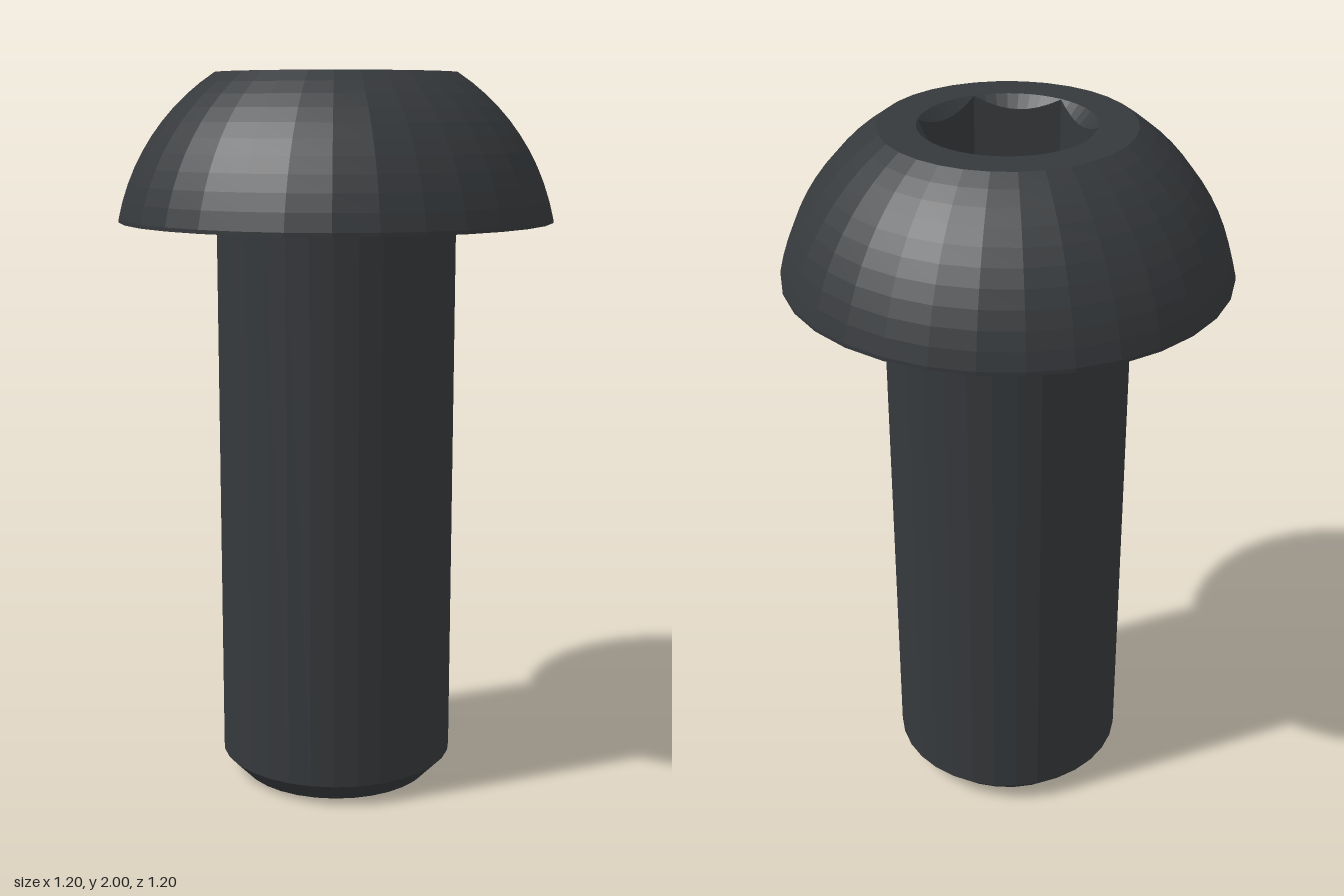
import * as THREE from 'three';

const SIDES = 32, SOCKET_SIDES = 48;
const SHAFT_R = 0.333, HEAD_R = 0.6, TOP_R = 0.333;
const HEAD_Y = 1.6, TOP_Y = 2;
const SOCKET_R = 0.232, HEX_APOTHEM = 0.2, SOCKET_DEPTH = 0.25;

// Points along an arc in the profile plane
function arc(cx, cy, r, from, to, steps) {
  return Array.from({ length: steps + 1 }, (_, i) => {
    const a = from + (to - from) * i / steps;
    return new THREE.Vector2(cx + r * Math.cos(a), cy + r * Math.sin(a));
  });
}

// Regular polygon outline
function polygon(r, sides) {
  return Array.from({ length: sides }, (_, i) => {
    const a = i / sides * Math.PI * 2;
    return new THREE.Vector2(r * Math.cos(a), r * Math.sin(a));
  });
}

// Distance from the axis to the hexagon wall, corners on the x axis
function hexRadius(a) {
  const step = Math.PI / 3;
  return HEX_APOTHEM / Math.cos((a % step) - step / 2);
}

// Recess lofted from the round mouth, through a conical chamfer, to a hexagonal floor
function socketGeometry() {
  const pos = [], index = [];
  const floorY = TOP_Y - SOCKET_DEPTH;
  for (let i = 0; i <= SOCKET_SIDES; i++) {
    const a = (i % SOCKET_SIDES) / SOCKET_SIDES * Math.PI * 2;
    const h = hexRadius(a);
    const rings = [[SOCKET_R, TOP_Y], [h, TOP_Y - (SOCKET_R - h)], [h, floorY], [0, floorY]];
    for (const [r, y] of rings) pos.push(r * Math.cos(a), y, r * Math.sin(a));
  }
  for (let i = 0; i < SOCKET_SIDES; i++) {
    for (let k = 0; k < 3; k++) {
      const a = i * 4 + k, b = a + 4;
      index.push(a, a + 1, b);
      if (k < 2) index.push(b, a + 1, b + 1);
    }
  }
  const geo = new THREE.BufferGeometry();
  geo.setAttribute('position', new THREE.Float32BufferAttribute(pos, 3));
  geo.setIndex(index);
  geo.computeVertexNormals();
  return geo;
}

export function createModel() {
  const group = new THREE.Group();
  const material = new THREE.MeshStandardMaterial({ color: 0x36393c, flatShading: true });
  const add = (name, geometry) => {
    const mesh = new THREE.Mesh(geometry, material);
    mesh.name = name;
    group.add(mesh);
  };

  // Shaft with chamfered tip and a small fillet under the head
  const fillet = 0.02;
  add('shaft', new THREE.LatheGeometry([
    new THREE.Vector2(0, 0),
    new THREE.Vector2(0.275, 0),
    new THREE.Vector2(SHAFT_R, 0.06),
    ...arc(SHAFT_R + fillet, HEAD_Y - fillet, fillet, Math.PI, Math.PI / 2, 4),
  ], SIDES));

  // Domed head: flat underside, thin rim, spherical crown centred on the axis
  const rimY = HEAD_Y + 0.01;
  const cy = (TOP_Y + rimY - (HEAD_R ** 2 - TOP_R ** 2) / (TOP_Y - rimY)) / 2;
  const domeR = Math.hypot(HEAD_R, rimY - cy);
  add('head', new THREE.LatheGeometry([
    new THREE.Vector2(SHAFT_R + fillet, HEAD_Y),
    new THREE.Vector2(HEAD_R, HEAD_Y),
    ...arc(0, cy, domeR, Math.atan2(rimY - cy, HEAD_R), Math.atan2(TOP_Y - cy, TOP_R), 10),
  ], SIDES));

  // Flat ring around the socket mouth
  const ring = new THREE.Shape(polygon(TOP_R, SIDES));
  ring.holes.push(new THREE.Path(polygon(SOCKET_R, SOCKET_SIDES)));
  const ringGeo = new THREE.ShapeGeometry(ring);
  ringGeo.rotateX(-Math.PI / 2).translate(0, TOP_Y, 0);
  add('headTopRing', ringGeo);

  // Hexagonal drive socket
  add('hexSocket', socketGeometry());

  return group;
}
